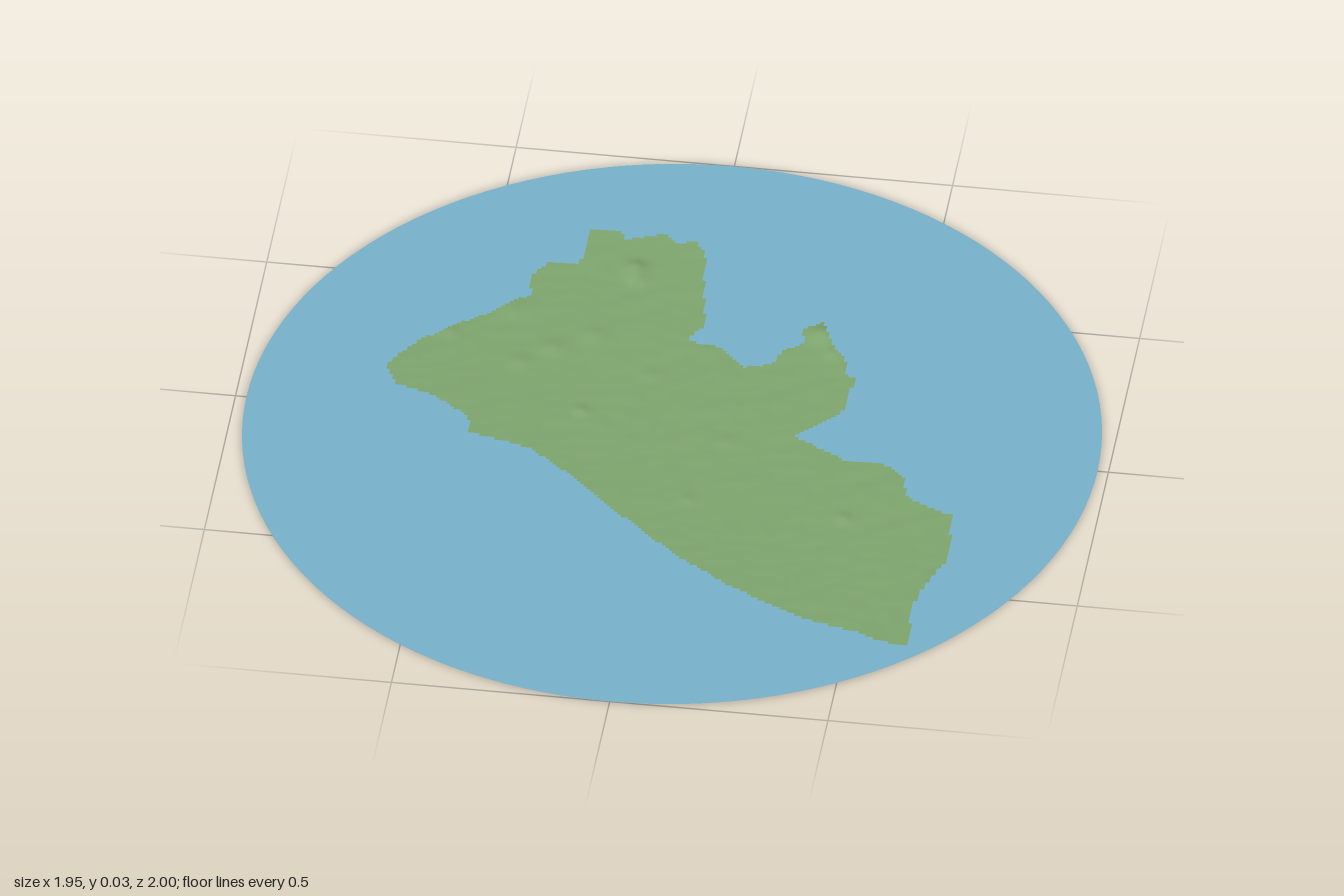
import * as THREE from 'three';

// Coastline as x, z pairs, starting at the north-west cape and running clockwise
const COAST = [
  -.29, -.70, -.22, -.705, -.20, -.675, -.11, -.705, -.085, -.675, -.04, -.685, -.015, -.64,
  0, -.51, .02, -.39, -.015, -.335, .07, -.315, .125, -.255, .19, -.27, .21, -.325,
  .25, -.35, .245, -.405, .285, -.43, .315, -.355, .355, -.30, .36, -.25, .385, -.24,
  .375, -.125, .33, -.07, .28, -.02, .345, .02, .41, .055, .495, .055, .545, .10,
  .56, .165, .62, .20, .675, .22, .68, .30, .685, .38, .65, .47, .63, .56,
  .64, .705, .575, .695, .52, .67, .40, .64, .295, .59, .20, .535, .085, .455,
  -.02, .365, -.125, .265, -.215, .18, -.31, .10, -.46, .06, -.465, .005, -.55, -.06,
  -.645, -.095, -.68, -.16, -.62, -.255, -.55, -.32, -.47, -.38, -.39, -.455, -.395, -.53,
  -.36, -.58, -.295, -.58, -.285, -.635,
];

// Hills: x, z, height, radius
const HILLS = [
  [-.165, -.575, .010, .025], [-.16, -.54, .006, .02], [.29, -.385, .012, .03],
  [.33, -.32, .005, .025], [-.215, -.05, .005, .018], [.43, .26, .005, .018],
  [-.38, -.21, .004, .025], [-.31, -.27, .005, .03], [-.23, -.33, .004, .03],
  [-.42, -.40, .004, .03], [.07, .24, .003, .015], [.13, .02, .003, .02],
  [-.55, -.30, .004, .02], [-.08, -.20, .003, .025],
];

function inside(x, z) {
  let hit = false;
  for (let i = 0, j = COAST.length - 2; i < COAST.length; j = i, i += 2) {
    const [xi, zi, xj, zj] = [COAST[i], COAST[i + 1], COAST[j], COAST[j + 1]];
    if ((zi > z) !== (zj > z) && x < (xj - xi) * (z - zi) / (zj - zi) + xi) hit = !hit;
  }
  return hit;
}

// Smooth value noise from a seeded hash
function hash(i, j) {
  const s = Math.sin(i * 127.1 + j * 311.7) * 43758.5453;
  return s - Math.floor(s);
}
function noise(x, z) {
  const i = Math.floor(x), j = Math.floor(z);
  const u = THREE.MathUtils.smoothstep(x - i, 0, 1), v = THREE.MathUtils.smoothstep(z - j, 0, 1);
  const { lerp } = THREE.MathUtils;
  return lerp(lerp(hash(i, j), hash(i + 1, j), u), lerp(hash(i, j + 1), hash(i + 1, j + 1), u), v);
}

// Ground rises inland from the south-west coast, with diagonal ridges and hills
function height(x, z) {
  const inland = Math.max(0, (x + .68) * .548 - (z + .16) * .836);
  const along = x * .84 - z * .54, across = x * .54 + z * .84;
  let y = .002 + .029 * inland * inland;
  y += .0026 * noise(along * 9, across * 26) * Math.min(1, .3 + inland * 1.5);
  y += .0012 * noise(along * 30 + 7, across * 50);
  for (const [hx, hz, h, r] of HILLS) {
    y += h * Math.exp(-((x - hx) ** 2 + (z - hz) ** 2) / (r * r));
  }
  return y;
}

// Terrain sheet: grid cells whose centre lies within the coastline
function landGeometry() {
  const step = .009, n = 160, half = n / 2;
  const positions = [], indices = [], ids = new Map();
  const vertex = (i, j) => {
    const key = i * (n + 1) + j;
    if (!ids.has(key)) {
      const x = (i - half) * step, z = (j - half) * step;
      ids.set(key, positions.length / 3);
      positions.push(x, height(x, z), z);
    }
    return ids.get(key);
  };
  for (let i = 0; i < n; i++) {
    for (let j = 0; j < n; j++) {
      if (!inside((i + .5 - half) * step, (j + .5 - half) * step)) continue;
      const a = vertex(i, j), b = vertex(i, j + 1), c = vertex(i + 1, j + 1), d = vertex(i + 1, j);
      indices.push(a, b, c, a, c, d);
    }
  }
  const geometry = new THREE.BufferGeometry();
  geometry.setAttribute('position', new THREE.Float32BufferAttribute(positions, 3));
  geometry.setIndex(indices);
  geometry.computeVertexNormals();
  return geometry;
}

export function createModel() {
  const group = new THREE.Group();
  group.name = 'reliefMap';

  const seaBlue = new THREE.MeshStandardMaterial({ color: 0x78b4cc, side: THREE.DoubleSide });
  seaBlue.name = 'sea blue';
  const landGreen = new THREE.MeshStandardMaterial({ color: 0x7fa66e, side: THREE.DoubleSide });
  landGreen.name = 'land green';

  // Flat, slightly oval sea
  const seaGeometry = new THREE.CircleGeometry(1, 128);
  seaGeometry.rotateX(-Math.PI / 2);
  seaGeometry.scale(.975, 1, 1);
  const sea = new THREE.Mesh(seaGeometry, seaBlue);
  sea.name = 'sea';

  const land = new THREE.Mesh(landGeometry(), landGreen);
  land.name = 'land';

  group.add(sea, land);
  return group;
}
